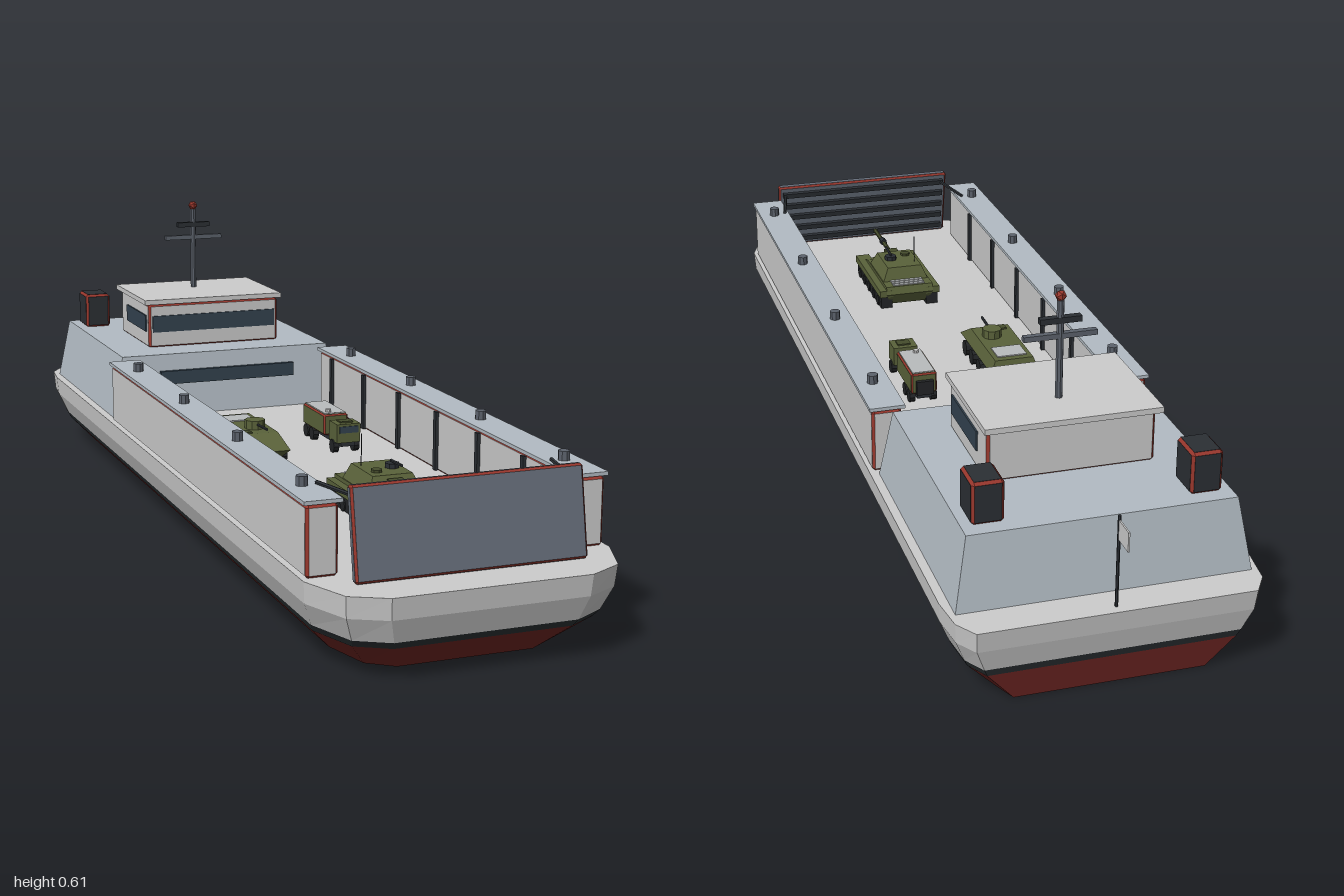
import * as THREE from 'three';
import { ConvexGeometry } from 'three/addons/geometries/ConvexGeometry.js';

const C = {
  grey: 0xcccccc, pale: 0xb9bcbd, steel: 0xb2bbc3, ramp: 0x656d79, dark: 0x2b2f34, mast: 0x5c626c,
  glass: 0x33424f, red: 0x96362c, bottom: 0x6e2522, boot: 0x2a3033, olive: 0x5a623a, oliveDark: 0x454c2c, tyre: 0x222426,
};
const mats = {};
const mat = (c) => (mats[c] ??= new THREE.MeshStandardMaterial({ color: c, flatShading: true, side: THREE.DoubleSide }));

function add(parent, name, geo, color, x = 0, y = 0, z = 0) {
  const m = new THREE.Mesh(geo, mat(color));
  m.name = name;
  m.position.set(x, y, z);
  parent.add(m);
  return m;
}
const box = (p, name, c, w, h, d, x, y, z) => add(p, name, new THREE.BoxGeometry(w, h, d), c, x, y, z);
const cyl = (p, name, c, r, h, x, y, z, n = 8) => add(p, name, new THREE.CylinderGeometry(r, r, h, n), c, x, y, z);

function group(parent, name, x = 0, y = 0, z = 0) {
  const g = new THREE.Group();
  g.name = name;
  g.position.set(x, y, z);
  parent.add(g);
  return g;
}

// Straight round bar between two points
function rod(p, name, c, a, b, r) {
  const A = new THREE.Vector3(...a), B = new THREE.Vector3(...b), dir = B.clone().sub(A);
  const m = cyl(p, name, c, r, dir.length(), 0, 0, 0, 6);
  m.position.copy(A).add(B).multiplyScalar(0.5);
  m.quaternion.setFromUnitVectors(new THREE.Vector3(0, 1, 0), dir.normalize());
  return m;
}

// Chamfered box: coloured chamfers with plain panels on the faces
function edged(p, name, c, w, h, d, x, y, z, b = 0.005, edge = C.red) {
  const g = group(p, name, x, y, z), pts = [];
  const slabs = [[w, h - 2 * b, d - 2 * b], [w - 2 * b, h, d - 2 * b], [w - 2 * b, h - 2 * b, d]];
  for (const s of slabs)
    for (let i = 0; i < 8; i++)
      pts.push(new THREE.Vector3((i & 1 ? 0.5 : -0.5) * s[0], (i & 2 ? 0.5 : -0.5) * s[1], (i & 4 ? 0.5 : -0.5) * s[2]));
  add(g, name + 'Edges', new ConvexGeometry(pts), edge);
  slabs.forEach((s, i) => {
    const t = s.map((v, k) => (k === i ? v + 0.001 : v));
    box(g, name + 'Panel', c, ...t, 0, 0, 0);
  });
  return g;
}

// Skin between horizontal loops of [x, y, z] corners, with optional caps
function loft(loops, bottom, top) {
  const pos = [], tri = (...v) => v.forEach((q) => pos.push(...q));
  for (let l = 0; l + 1 < loops.length; l++) {
    const a = loops[l], b = loops[l + 1];
    a.forEach((_, i) => {
      const j = (i + 1) % a.length;
      tri(a[i], a[j], b[j]);
      tri(a[i], b[j], b[i]);
    });
  }
  const cap = (q, up) => {
    for (let i = 1; i + 1 < q.length; i++) up ? tri(q[0], q[i], q[i + 1]) : tri(q[0], q[i + 1], q[i]);
  };
  if (bottom) cap(loops[0], false);
  if (top) cap(loops.at(-1), true);
  const g = new THREE.BufferGeometry();
  g.setAttribute('position', new THREE.Float32BufferAttribute(pos, 3));
  g.computeVertexNormals();
  return g;
}
const mirror = (half) => [...half, ...half.slice().reverse().map(([x, y, z]) => [-x, y, z])];
const rect = (w, y, zf, zb) => mirror([[w, y, zf], [w, y, zb]]);
const hullLoop = ([y, w, zf, zb]) => mirror([
  [0.64 * w, y, zf], [0.87 * w, y, zf - 0.035], [w, y, zf - 0.13],
  [w, y, zb + 0.11], [0.97 * w, y, zb + 0.04], [0.88 * w, y, zb],
]);

function buildHull(ship) {
  const L = [
    [0, 0.2, 0.895, -0.938], [0.06, 0.258, 0.965, -0.95], [0.075, 0.265, 0.978, -0.955],
    [0.12, 0.284, 0.995, -0.967], [0.16, 0.287, 1, -0.973],
  ].map(hullLoop);
  add(ship, 'hullBottom', loft(L.slice(0, 2), true, false), C.bottom);
  add(ship, 'waterline', loft(L.slice(1, 3)), C.boot);
  add(ship, 'hullTopsides', loft(L.slice(2), false, true), C.grey);
}

function buildWings(ship) {
  for (const s of [1, -1]) {
    const wing = group(ship, s > 0 ? 'leftWing' : 'rightWing');
    edged(wing, 'wingWall', C.grey, 0.058, 0.127, 1.22, s * 0.25, 0.223, 0.25);
    box(wing, 'wingTop', C.steel, 0.07, 0.007, 1.225, s * 0.249, 0.291, 0.25);
    for (let i = 0; i < 6; i++) box(wing, 'rib', C.dark, 0.008, 0.12, 0.012, s * 0.218, 0.222, -0.28 + 0.19 * i);
    for (const z of [-0.245, 0.09, 0.425, 0.763]) cyl(wing, 'bollard', C.mast, 0.011, 0.018, s * 0.25, 0.303, z);
    rod(ship, 'rampStay', C.dark, [s * 0.2, 0.3, 0.875], [s * 0.224, 0.298, 0.765], 0.004);
  }
}

function buildRamp(ship) {
  const ramp = group(ship, 'bowRamp', 0, 0.242, 0.901);
  ramp.rotation.x = -0.18;
  edged(ramp, 'rampPlate', C.ramp, 0.43, 0.164, 0.018, 0, 0, 0, 0.004);
  for (let i = 0; i < 5; i++) box(ramp, 'rampRib', C.dark, 0.41, 0.012, 0.012, 0, -0.062 + 0.031 * i, -0.013);
}

function buildHouse(ship) {
  const house = group(ship, 'superstructure');
  add(house, 'deckhouse', loft([rect(0.27, 0.16, -0.372, -0.905), rect(0.246, 0.297, -0.391, -0.885)], true, true), C.steel);
  box(house, 'deckhouseWindow', C.glass, 0.32, 0.03, 0.012, 0, 0.245, -0.382);
  edged(house, 'bridge', C.grey, 0.314, 0.102, 0.232, 0, 0.346, -0.596);
  box(house, 'bridgeFrontWindow', C.glass, 0.297, 0.038, 0.008, 0, 0.351, -0.48);
  for (const s of [1, -1]) {
    box(house, 'bridgeSideWindow', C.glass, 0.008, 0.038, 0.16, s * 0.157, 0.351, -0.577);
    edged(house, 'funnel', C.dark, 0.058, 0.08, 0.073, s * 0.198, 0.336, -0.819);
  }
  box(house, 'bridgeRoof', C.grey, 0.332, 0.011, 0.25, 0, 0.402, -0.603);
  const mast = group(house, 'mast', 0, 0, -0.635);
  cyl(mast, 'mastPole', C.mast, 0.007, 0.19, 0, 0.5, 0);
  box(mast, 'lowerYard', C.mast, 0.138, 0.01, 0.012, 0, 0.528, 0);
  box(mast, 'upperYard', C.dark, 0.078, 0.011, 0.014, 0, 0.558, 0);
  add(mast, 'beacon', new THREE.IcosahedronGeometry(0.011, 0), C.red, 0, 0.603, 0);
  cyl(ship, 'flagPole', C.dark, 0.003, 0.175, 0, 0.247, -0.953, 6);
  box(ship, 'flag', C.grey, 0.003, 0.037, 0.045, 0, 0.308, -0.977);
}

function wheels(g, name, x, zs, r, w) {
  for (const s of [1, -1]) for (const z of zs) cyl(g, name, C.tyre, r, w, s * x, r, z, 10).rotation.z = Math.PI / 2;
}

function buildTank(ship) {
  const t = group(ship, 'tank', 0, 0.16, 0.545);
  for (const s of [1, -1]) {
    const track = box(t, 'track', C.tyre, 0.027, 0.03, 0.235, s * 0.054, 0.016, 0);
    wheels(t, 'roadWheel', 0.06, [-0.09, -0.045, 0, 0.045, 0.09].map((z) => z), 0.012, 0.02);
    box(t, 'fender', C.olive, 0.032, 0.016, 0.245, s * 0.055, 0.037, 0);
    track.castShadow = false;
  }
  add(t, 'tankHull', loft([rect(0.045, 0.008, 0.1, -0.11), rect(0.055, 0.035, 0.125, -0.125), rect(0.055, 0.053, 0.065, -0.12)], true, true), C.olive);
  for (let i = 0; i < 3; i++) box(t, 'engineGrille', C.pale, 0.075, 0.003, 0.008, 0, 0.054, -0.112 + 0.012 * i);
  add(t, 'turret', loft([rect(0.053, 0.053, 0.045, -0.085), rect(0.04, 0.083, 0.03, -0.075)], true, true), C.olive);
  box(t, 'mantlet', C.oliveDark, 0.03, 0.02, 0.025, 0, 0.068, 0.05);
  rod(t, 'gun', C.oliveDark, [0, 0.068, 0.05], [0, 0.07, 0.215], 0.005);
  rod(t, 'muzzle', C.dark, [0, 0.07, 0.125], [0, 0.07, 0.145], 0.008);
  cyl(t, 'cupola', C.dark, 0.014, 0.01, 0.02, 0.087, -0.02);
  cyl(t, 'hatch', C.oliveDark, 0.011, 0.006, -0.02, 0.085, 0);
  rod(t, 'machineGun', C.dark, [0.02, 0.095, -0.025], [0.02, 0.097, 0.025], 0.003);
  cyl(t, 'aerial', C.dark, 0.001, 0.07, -0.03, 0.11, -0.05, 5);
}

function buildCarrier(ship) {
  const a = group(ship, 'armouredCarrier', -0.1, 0.16, 0.047);
  wheels(a, 'carrierWheel', 0.046, [-0.08, -0.03, 0.025, 0.075], 0.017, 0.018);
  add(a, 'carrierBody', loft([rect(0.036, 0.012, 0.09, -0.11), rect(0.052, 0.036, 0.118, -0.118), rect(0.042, 0.064, 0.07, -0.112)], true, true), C.olive);
  box(a, 'roofPanel', C.pale, 0.064, 0.003, 0.05, 0, 0.065, -0.072);
  cyl(a, 'carrierTurret', C.olive, 0.021, 0.018, 0.01, 0.073, 0.018, 10);
  rod(a, 'carrierGun', C.dark, [0.01, 0.074, 0.03], [0.01, 0.077, 0.093], 0.003);
  box(a, 'driverHatch', C.oliveDark, 0.02, 0.005, 0.02, -0.022, 0.065, 0.055);
}

function buildTruck(ship) {
  const k = group(ship, 'truck', 0.105, 0.16, 0);
  wheels(k, 'truckWheel', 0.023, [-0.075, -0.04, 0.078], 0.014, 0.012);
  box(k, 'chassis', C.dark, 0.032, 0.01, 0.195, 0, 0.02, 0);
  edged(k, 'cargoBody', C.olive, 0.054, 0.044, 0.125, 0, 0.047, -0.033, 0.003);
  box(k, 'cargoRoof', C.pale, 0.047, 0.003, 0.116, 0, 0.07, -0.033);
  cyl(k, 'roofVent', C.grey, 0.006, 0.006, -0.01, 0.074, 0.01);
  box(k, 'cab', C.olive, 0.052, 0.04, 0.045, 0, 0.044, 0.079);
  box(k, 'windscreen', C.glass, 0.042, 0.014, 0.003, 0, 0.052, 0.102);
  box(k, 'cabHatch', C.oliveDark, 0.028, 0.004, 0.022, 0, 0.065, 0.079);
  box(k, 'spareCarrier', C.tyre, 0.036, 0.03, 0.01, 0, 0.04, -0.1);
}

export function createModel() {
  const ship = new THREE.Group();
  ship.name = 'landingShip';
  [buildHull, buildWings, buildRamp, buildHouse, buildTank, buildCarrier, buildTruck].forEach((f) => f(ship));
  return ship;
}
